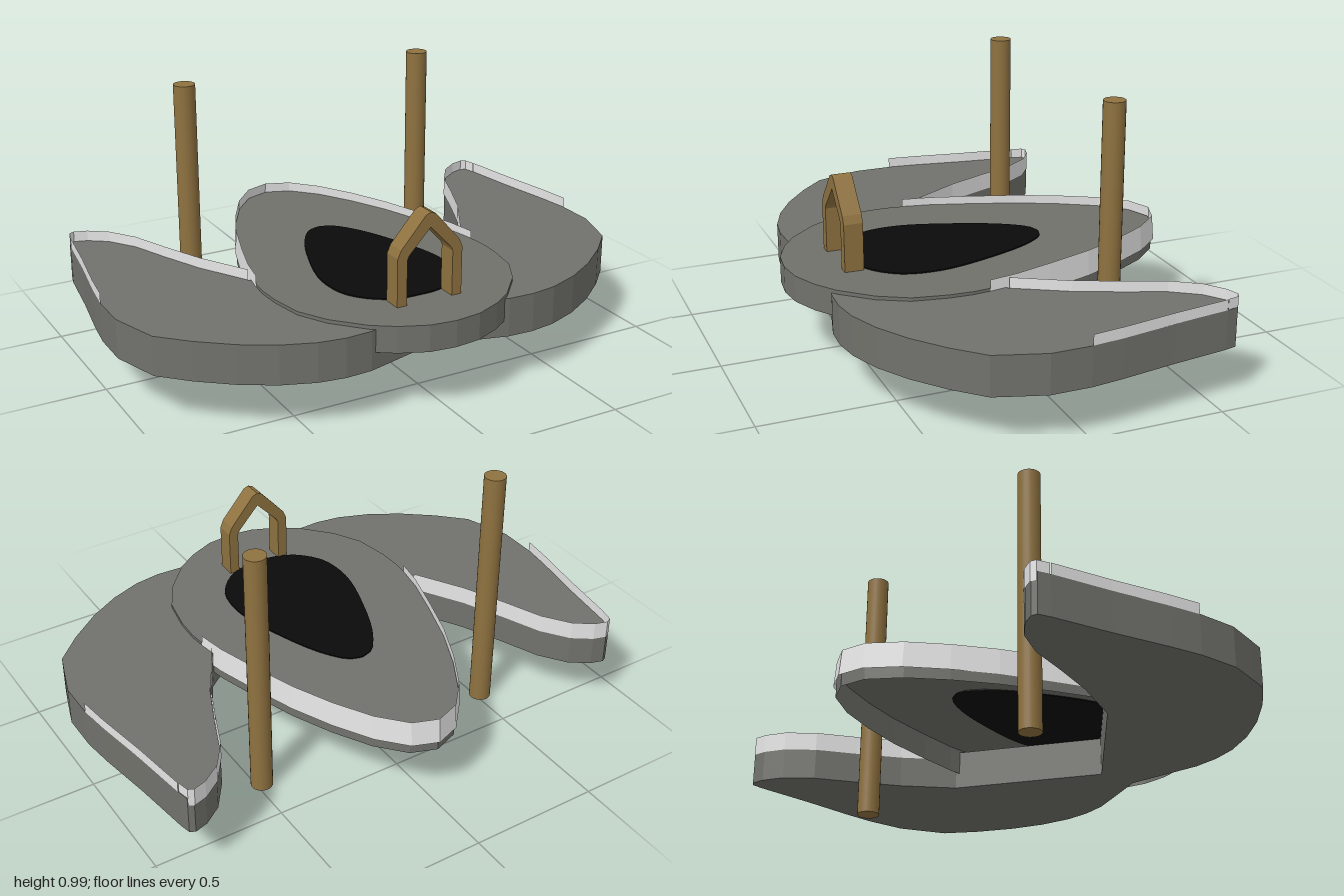
import * as THREE from 'three';

const mat = (name, color, extra = {}) => {
  const m = new THREE.MeshStandardMaterial({ color, ...extra });
  m.name = name;
  return m;
};

export function createModel() {
  const gray = mat('hull gray', 0x71716c, { side: THREE.DoubleSide });
  const white = mat('trim white', 0xe6e6e6, { side: THREE.DoubleSide });
  const black = mat('canopy black', 0x0a0a0a);
  const brass = mat('brass', 0x8f7240);

  const model = new THREE.Group();
  const add = (name, geometry, material, parent = model) => {
    const mesh = new THREE.Mesh(geometry, material);
    mesh.name = name;
    parent.add(mesh);
    return mesh;
  };
  const toShape = (pts) => new THREE.Shape(pts.map(([x, y]) => new THREE.Vector2(x, y)));
  const mirror = (pts) => pts.map(([x, z]) => [-x, z]);
  // closed outline from a half running from the rear to the front
  const symmetric = (half) => [...half, ...mirror(half.slice(1, -1)).reverse()];

  // horizontal plate from an x,z outline
  const plate = (pts, y0, y1) => {
    const g = new THREE.ExtrudeGeometry(toShape(pts), { depth: y1 - y0, bevelEnabled: false });
    return g.rotateX(Math.PI / 2).translate(0, y1, 0);
  };

  // thin upright wall along an x,z path; topScale leans it inward
  const wall = (pts, y0, y1, topScale = 1) => {
    const pos = [];
    for (let i = 0; i < pts.length - 1; i++) {
      const [a, b] = [pts[i], pts[i + 1]];
      const [a0, b0] = [[a[0], y0, a[1]], [b[0], y0, b[1]]];
      const [a1, b1] = [a, b].map(([x, z]) => [x * topScale, y1, z * topScale]);
      pos.push(...a0, ...b0, ...b1, ...a0, ...b1, ...a1);
    }
    const g = new THREE.BufferGeometry();
    g.setAttribute('position', new THREE.Float32BufferAttribute(pos, 3));
    g.computeVertexNormals();
    return g;
  };

  // swept side wings with raised trim around their tips
  const inner = [[0.46, 0.06], [0.57, -0.13], [0.64, -0.29], [0.7, -0.44], [0.77, -0.54],
    [0.84, -0.59], [0.89, -0.605], [0.91, -0.595], [0.92, -0.55]];
  const outer = [[0.92, -0.55], [0.95, -0.33], [0.985, -0.12], [1, 0]];
  const front = [[1, 0.15], [0.965, 0.26], [0.94, 0.335], [0.84, 0.435], [0.72, 0.53],
    [0.6, 0.6], [0.48, 0.645], [0.38, 0.66], [0.28, 0.655], [0, 0.58], [0, 0.42]];
  const outline = [...inner, ...outer.slice(1), ...front];
  for (const [side, flip] of [['left', (p) => p], ['right', mirror]]) {
    add(side + 'Wing', plate(flip(outline), 0.188, 0.336), gray);
    const lip = inner.map(([x, z]) => [x - 0.002, z - 0.002]);
    add(side + 'WingInnerTrim', wall(flip(lip), 0.305, 0.376), white);
    add(side + 'WingOuterTrim', wall(flip(outer), 0.335, 0.376), white);
  }

  // pointed central hull: an open-bottomed shell tilted slightly back
  const hull = new THREE.Group();
  hull.name = 'hull';
  hull.rotation.x = -0.007;
  model.add(hull);
  const rearHalf = [[0, -0.74], [0.095, -0.705], [0.185, -0.605], [0.265, -0.465],
    [0.335, -0.31], [0.395, -0.13], [0.44, 0.02], [0.46, 0.13]];
  const frontHalf = [[0.467, 0.2], [0.463, 0.29], [0.44, 0.42], [0.38, 0.53], [0.28, 0.64],
    [0.2, 0.695], [0.1, 0.738], [0, 0.75]];
  const hullLine = symmetric([...rearHalf, ...frontHalf]);
  add('hullDeck', new THREE.ShapeGeometry(toShape(hullLine)).rotateX(Math.PI / 2)
    .translate(0, 0.346, 0), gray, hull);
  add('hullSide', wall([...hullLine, hullLine[0]], 0.246, 0.346), gray, hull);

  // raised trim around the rear of the hull
  const rim = rearHalf.map(([x, z]) => [x * 1.01, z * 1.018]);
  add('hullTrim', wall([...mirror(rim).reverse(), ...rim.slice(1)], 0.28, 0.378, 0.988), white);

  // egg-shaped canopy plate
  const canopy = new THREE.SplineCurve([[0, -0.26], [0.06, -0.235], [0.13, -0.13], [0.19, 0.02],
    [0.235, 0.17], [0.245, 0.28], [0.225, 0.38], [0.16, 0.46], [0.08, 0.5], [0, 0.505]]
    .map(([x, z]) => new THREE.Vector2(x, z))).getPoints(24).map((p) => [p.x, p.y]);
  add('canopy', plate(symmetric(canopy), 0.342, 0.351), black, hull);

  // pointed arch at the front of the canopy
  const archHalf = [[0.131, 0.34], [0.131, 0.53], [0.118, 0.56], [0.02, 0.672], [0, 0.68]];
  const archInner = [[0.092, 0.34], [0.092, 0.52], [0.085, 0.535], [0, 0.625]];
  const arch = [...archHalf, ...mirror(archHalf.slice(0, -1)).reverse(),
    ...mirror(archInner), ...archInner.slice(0, -1).reverse()];
  add('arch', new THREE.ExtrudeGeometry(toShape(arch), { depth: 0.072, bevelEnabled: false })
    .translate(0.005, 0, 0.488), brass);

  // upright posts behind the wings
  for (const [name, x] of [['leftPost', 0.478], ['rightPost', -0.52]]) {
    add(name, new THREE.CylinderGeometry(0.041, 0.041, 0.986, 24), brass)
      .position.set(x, 0.493, -0.325);
  }
  return model;
}
